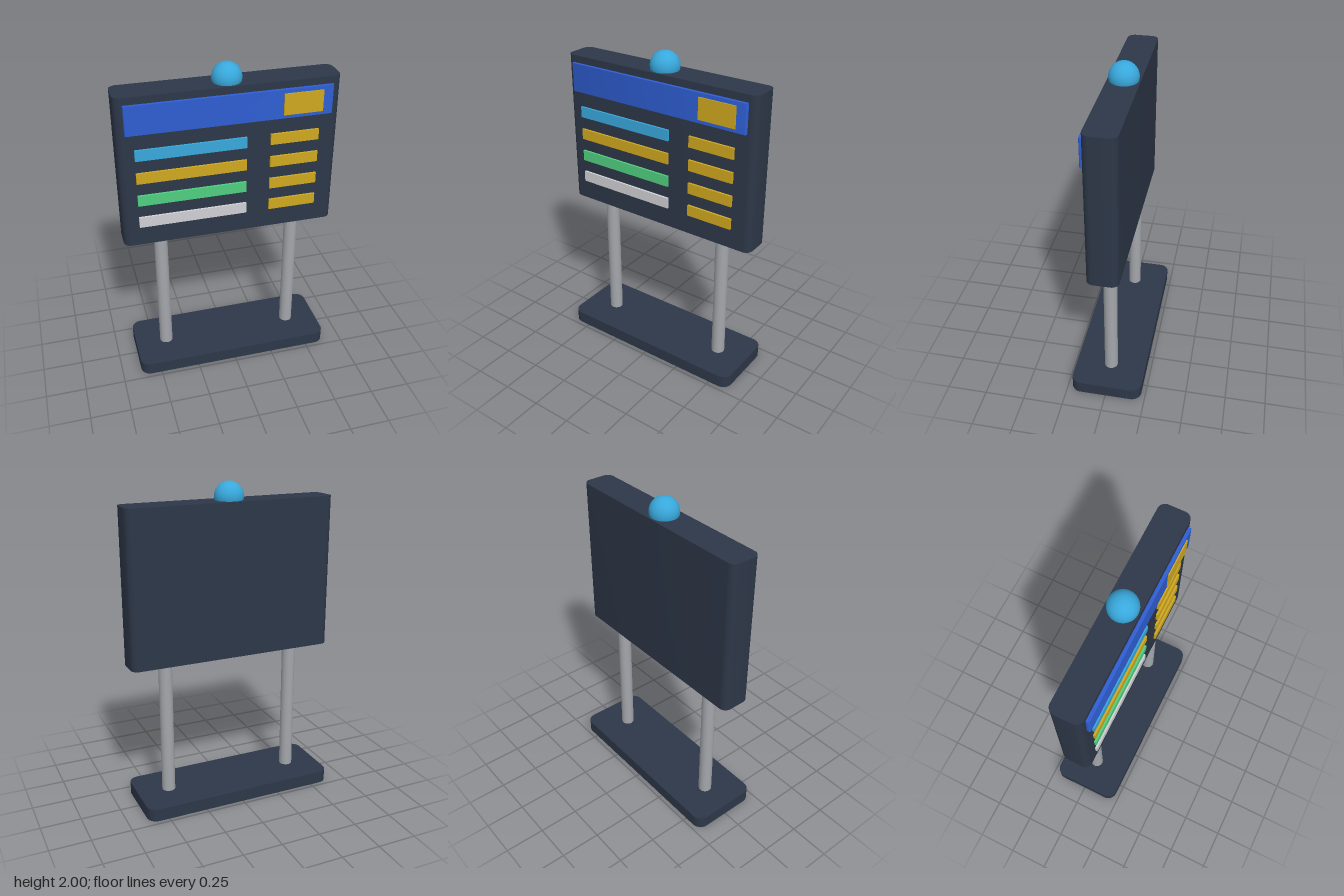
import * as THREE from 'three';
import { toCreasedNormals } from 'three/addons/utils/BufferGeometryUtils.js';

const material = (name, color) => {
  const m = new THREE.MeshStandardMaterial({ color });
  m.name = name;
  return m;
};

// Slab with upright corners rounded in plan, extruded from y0 to y1
function slab(x0, x1, y0, y1, z0, z1, r) {
  const s = new THREE.Shape();
  const a = -z1, b = -z0;
  s.moveTo(x0 + r, a);
  s.lineTo(x1 - r, a);
  s.absarc(x1 - r, a + r, r, -Math.PI / 2, 0);
  s.lineTo(x1, b - r);
  s.absarc(x1 - r, b - r, r, 0, Math.PI / 2);
  s.lineTo(x0 + r, b);
  s.absarc(x0 + r, b - r, r, Math.PI / 2, Math.PI);
  s.lineTo(x0, a + r);
  s.absarc(x0 + r, a + r, r, Math.PI, Math.PI * 1.5);
  const g = new THREE.ExtrudeGeometry(s, { depth: y1 - y0, bevelEnabled: false, curveSegments: 8 });
  g.rotateX(-Math.PI / 2);
  g.translate(0, y0, 0);
  return toCreasedNormals(g, 0.6);
}

export function createModel() {
  const group = new THREE.Group();
  group.name = 'informationBoard';

  const navy = material('navy', 0x2d3748);
  const blue = material('blue', 0x2f5fd4);
  const sky = material('sky blue', 0x38a8dc);
  const gold = material('gold', 0xd0a820);
  const green = material('green', 0x4fd080);
  const pale = material('pale grey', 0xd0d0d4);
  const steel = material('steel grey', 0xa3a6ab);

  const add = (name, geometry, mat) => {
    const mesh = new THREE.Mesh(geometry, mat);
    mesh.name = name;
    group.add(mesh);
    return mesh;
  };
  const plate = (name, x0, x1, y0, y1, z0, z1, mat) => {
    const g = new THREE.BoxGeometry(x1 - x0, y1 - y0, z1 - z0);
    add(name, g, mat).position.set((x0 + x1) / 2, (y0 + y1) / 2, (z0 + z1) / 2);
  };

  // Base and board
  add('base', slab(-0.628, 0.628, 0, 0.08, -0.223, 0.223, 0.062), navy);
  add('board', slab(-0.658, 0.658, 0.94, 1.89, -0.095, 0.095, 0.045), navy);

  // Two posts
  for (const side of [-1, 1]) {
    const post = add(side > 0 ? 'leftPost' : 'rightPost',
      new THREE.CylinderGeometry(0.042, 0.042, 0.88, 24), steel);
    post.position.set(side * 0.425, 0.51, 0);
  }

  // Beacon on top
  add('beacon', new THREE.SphereGeometry(0.088, 32, 20), sky).position.y = 1.912;

  // Header with its badge
  add('header', slab(-0.608, 0.605, 1.67, 1.846, 0.08, 0.115, 0.008), blue);
  plate('headerBadge', 0.306, 0.543, 1.692, 1.823, 0.112, 0.122, gold);

  // Rows: a long coloured bar and a short gold bar each
  [sky, gold, green, pale].forEach((mat, i) => {
    const y = 1.54 - i * 0.1465;
    plate('rowBar' + (i + 1), -0.561, 0.094, y - 0.034, y + 0.034, 0.085, 0.108, mat);
    plate('timeBar' + (i + 1), 0.238, 0.533, y - 0.034, y + 0.034, 0.085, 0.108, gold);
  });

  return group;
}
